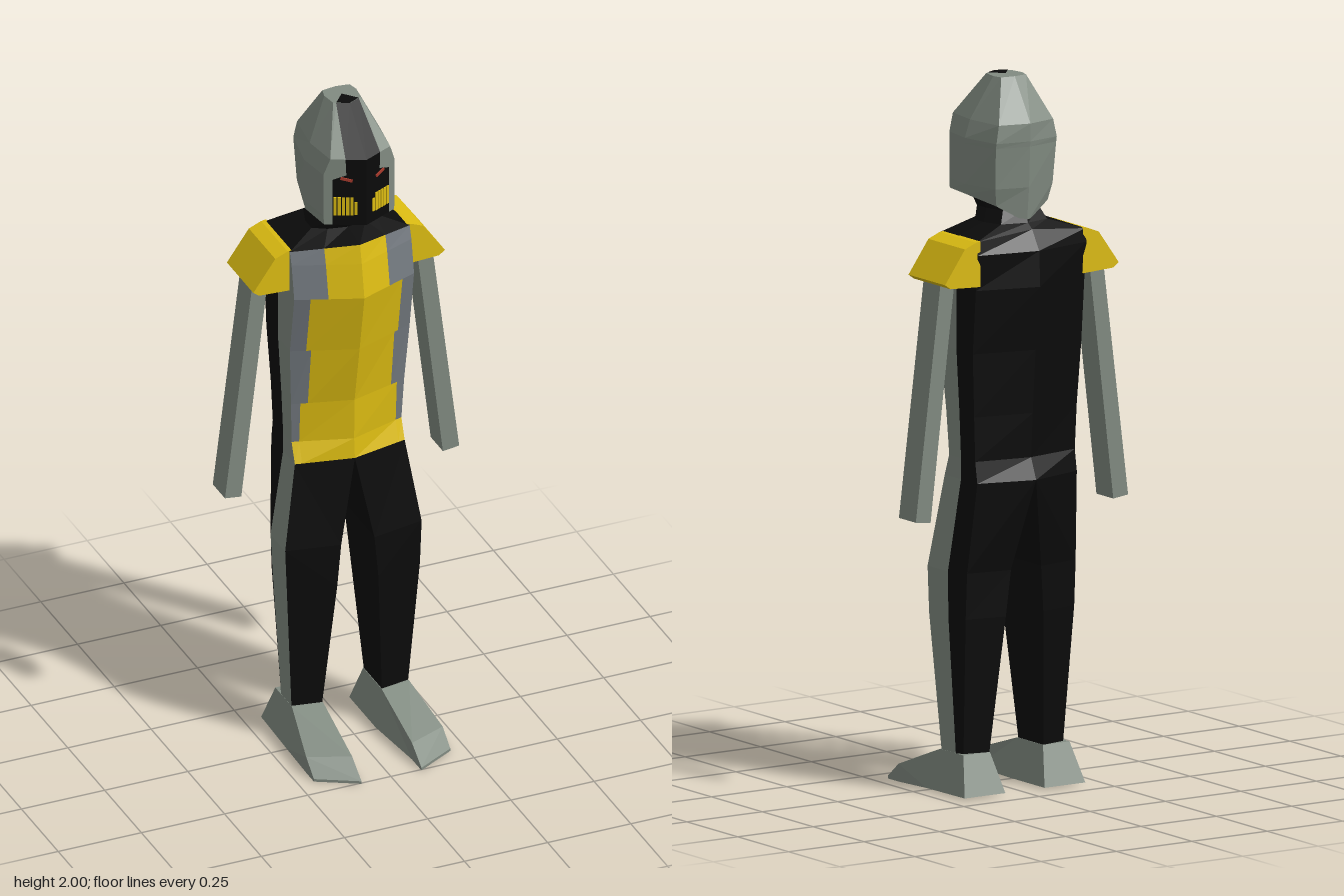
import * as THREE from 'three';

const mat = (name, color) => {
  const m = new THREE.MeshStandardMaterial({ color });
  m.name = name;
  return m;
};
const BLACK = mat('black', 0x0b0b0b);
const GREY = mat('armourGrey', 0x818b81);
const SLATE = mat('chestSlate', 0x73797f);
const YELLOW = mat('yellow', 0xdcbc12);
const RED = mat('eyeRed', 0xa83a2c);

// Closed, capped, flat-faced loft. paint(row, col) gives each cell's material;
// row -1 is the first cap and row rings.length - 1 the last cap.
function loft(name, rings, paint) {
  const buckets = new Map();
  const v = (p) => new THREE.Vector3(...p);
  let volume = 0;
  const tri = (m, a, b, c) => {
    if (b.clone().sub(a).cross(c.clone().sub(a)).length() < 1e-9) return;
    volume += a.dot(b.clone().cross(c));
    if (!buckets.has(m)) buckets.set(m, []);
    buckets.get(m).push([a, b, c]);
  };
  const pts = rings.map((r) => r.map(v));
  const n = pts[0].length;
  const last = pts.length - 1;
  for (let r = 0; r < last; r++) {
    for (let c = 0; c < n; c++) {
      const d = (c + 1) % n;
      const m = paint(r, c);
      tri(m, pts[r][c], pts[r][d], pts[r + 1][d]);
      tri(m, pts[r][c], pts[r + 1][d], pts[r + 1][c]);
    }
  }
  const mid = (ring) => ring.reduce((s, p) => s.add(p), new THREE.Vector3()).divideScalar(n);
  const m0 = mid(pts[0]), m1 = mid(pts[last]);
  for (let c = 0; c < n; c++) {
    const d = (c + 1) % n;
    tri(paint(-1, c), m0, pts[0][d], pts[0][c]);
    tri(paint(last, c), m1, pts[last][c], pts[last][d]);
  }
  // One geometry group per material; turn the faces if they point inwards
  const geo = new THREE.BufferGeometry();
  const pos = [], mats = [];
  for (const [m, tris] of buckets) {
    geo.addGroup(pos.length / 3, tris.length * 3, mats.length);
    mats.push(m);
    for (const [a, b, c] of tris) {
      for (const p of volume < 0 ? [a, c, b] : [a, b, c]) pos.push(p.x, p.y, p.z);
    }
  }
  geo.setAttribute('position', new THREE.Float32BufferAttribute(pos, 3));
  geo.computeVertexNormals();
  const mesh = new THREE.Mesh(geo, mats);
  mesh.name = name;
  return mesh;
}

// Full ring from a half outline running front centre -> back centre
const mirrorRing = (half) => [
  ...half,
  ...half.slice(1, -1).reverse().map(([x, y, z]) => [-x, y, z]),
];
const halfCol = (c, spans) => (c < spans ? c : 2 * spans - 1 - c);

function makeTorso() {
  // y, half width, colour seam x, front z, side front z, side back z, back z
  const rows = [
    [0.885, 0.165, 0.145, 0.005, -0.03, -0.19, -0.235],
    [0.945, 0.165, 0.145, 0.0, -0.052, -0.18, -0.21],
    [1.07, 0.17, 0.145, 0.003, -0.045, -0.182, -0.218],
    [1.07, 0.17, 0.125, 0.003, -0.045, -0.182, -0.218],
    [1.25, 0.18, 0.125, 0.037, -0.03, -0.19, -0.232],
    [1.25, 0.18, 0.138, 0.037, -0.03, -0.19, -0.232],
    [1.43, 0.18, 0.138, 0.07, 0.0, -0.205, -0.255],
    [1.43, 0.18, 0.092, 0.07, 0.0, -0.205, -0.255],
    [1.53, 0.18, 0.092, 0.052, -0.018, -0.215, -0.25],
    [1.585, 0.18, 0.092, 0.04, -0.03, -0.21, -0.215],
  ];
  const rings = rows.map(([y, w, b, zf, zs, zbs, zb], i) => {
    const ys = i === rows.length - 1 ? y - 0.018 : y;
    const t = b / w;
    return mirrorRing([
      [0, y, zf], [b, y + (ys - y) * t, zf + (zs - zf) * t], [w, ys, zs],
      [w, ys, -0.11], [w, ys, zbs], [0, y, zb],
    ]);
  });
  const front = rows.length - 1;
  // Neck: base, waist, top
  const neck = [[1.6, 0.095, -0.04, -0.195], [1.635, 0.075, -0.02, -0.18], [1.7, 0.09, 0.015, -0.16]];
  for (const [y, w, zf, zb] of neck) {
    rings.push(mirrorRing([
      [0, y, zf], [w * 0.6, y, zf - 0.012], [w, y, zf - 0.035],
      [w, y, (zf + zb) / 2], [w * 0.8, y, zb + 0.02], [0, y, zb],
    ]));
  }
  return loft('torsoAndNeck', rings, (r, c) => {
    const k = halfCol(c, 5);
    if (r < 0 || r >= front) return BLACK;
    if (k === 0 || (k === 1 && r === 0)) return YELLOW;
    if (k === 1) return SLATE;
    return k === 2 ? GREY : BLACK;
  });
}

const FACE_SLOPE = 0.05 / 0.105;
const faceZ = (x) => 0.084 - FACE_SLOPE * x;

function makeHead() {
  const head = new THREE.Group();
  head.name = 'head';
  // y, mask half width, front corner x, side x, rear corner x, rear corner z, back z
  const rows = [
    [1.672, 0.085, 0.105, 0.118, 0.085, -0.165, -0.19],
    [1.7, 0.085, 0.107, 0.122, 0.095, -0.175, -0.2],
    [1.815, 0.085, 0.107, 0.122, 0.1, -0.185, -0.205],
    [1.83, 0.05, 0.107, 0.122, 0.1, -0.188, -0.207],
    [1.88, 0.052, 0.09, 0.105, 0.09, -0.185, -0.207],
  ];
  const rings = rows.map(([y, b, fx, sx, bx, bz, back], i) => mirrorRing([
    [0, y, 0.084], [b, y, faceZ(b)], [fx, y, faceZ(fx)], [sx, y, -0.065],
    [bx, i ? y : 1.65, bz], [0, i ? y : 1.6, back],
  ]));
  rings.push(mirrorRing([
    [0, 2, -0.03], [0.034, 2, -0.046], [0.041, 2, -0.05],
    [0.048, 2, -0.095], [0.041, 2, -0.124], [0, 2, -0.13],
  ]));
  head.add(loft('hood', rings, (r, c) =>
    (halfCol(c, 5) === 0 && r >= 0 && r < rings.length - 1 ? BLACK : GREY)));

  // Eyes and vertical vent bars, laid on the angled face
  const plate = (name, m, x, y, w, h, s, tilt = 0) => {
    const p = new THREE.Mesh(new THREE.BoxGeometry(w, h, 0.005), m);
    p.position.set(s * x, y, faceZ(x) + 0.001);
    p.rotation.set(0, s * Math.atan(FACE_SLOPE), s * tilt);
    p.name = name;
    head.add(p);
  };
  for (const s of [1, -1]) {
    plate('eye', RED, 0.05, 1.817, 0.034, 0.008, s, 0.25);
    for (let i = 0; i < 6; i++) {
      plate('ventBar', YELLOW, 0.026 + i * 0.0105, 1.732 - (i === 0 ? 0.006 : 0), 0.0085, i === 0 ? 0.04 : 0.056, s);
    }
  }
  // Top of the mask reaching onto the crown
  const tip = new THREE.Shape([
    new THREE.Vector2(-0.034, 0.046), new THREE.Vector2(0, 0.03),
    new THREE.Vector2(0.034, 0.046), new THREE.Vector2(0, 0.085),
  ].reverse());
  const crown = new THREE.Mesh(new THREE.ShapeGeometry(tip), BLACK);
  crown.rotation.x = -Math.PI / 2;
  crown.position.y = 2.001;
  crown.name = 'maskTip';
  head.add(crown);
  return head;
}

// Limbs for one side; s = 1 is the model's left
function makeSide(s) {
  const side = new THREE.Group();
  side.name = s > 0 ? 'leftLimbs' : 'rightLimbs';
  const add = (name, rings, paint) =>
    side.add(loft(name, rings.map((r) => r.map(([x, y, z]) => [s * x, y, z])), paint));

  // Shoulder pad: one outline at two depths
  const pad = [[0.17, 1.57], [0.185, 1.568], [0.222, 1.553], [0.288, 1.46], [0.27, 1.447], [0.17, 1.442]];
  add('shoulderPad', [-0.034, -0.214].map((z) => pad.map(([x, y]) => [x, y, z])), () => YELLOW);

  // Arm, with a yellow end
  const arm = (xi, yi, xo, yo) => [[xi, yi, -0.082], [xo, yo, -0.082], [xo, yo, -0.165], [xi, yi, -0.165]];
  add('arm', [arm(0.303, 0.787, 0.352, 0.793), arm(0.222, 1.47, 0.268, 1.47)],
    (r) => (r < 0 ? YELLOW : GREY));

  // Leg: y, inner x, outer x, rear x, then z of each corner
  const leg = [
    [0.11, 0.09, 0.175, 0.165, -0.015, -0.03, -0.1, -0.122, -0.137],
    [0.5, 0.062, 0.2, 0.18, 0.025, -0.005, -0.1, -0.155, -0.178],
    [0.63, 0.05, 0.205, 0.18, 0.025, -0.005, -0.105, -0.162, -0.185],
    [0.885, 0, 0.165, 0.165, 0.005, -0.03, -0.11, -0.19, -0.235],
  ].map(([y, xi, xo, xb, a, b, c, d, e]) =>
    [[xi, y, a], [xo, y, b], [xo, y, c], [xb, y, d], [xi, y, e]]);
  add('leg', leg, (r, c) => (c === 1 && r >= 0 && r < 3 ? GREY : BLACK));

  // Foot, heel to toe: inner sole, outer sole, outer top, inner top
  add('foot', [
    [[0.065, 0.005, -0.18], [0.2, 0.005, -0.18], [0.176, 0.116, -0.138], [0.088, 0.116, -0.138]],
    [[0.065, 0.005, 0], [0.205, 0.005, 0], [0.176, 0.116, -0.025], [0.088, 0.116, -0.012]],
    [[0.09, 0, 0.19], [0.205, 0, 0.138], [0.205, 0.05, 0.138], [0.09, 0.053, 0.19]],
    [[0.09, 0, 0.254], [0.205, 0, 0.19], [0.205, 0.008, 0.19], [0.09, 0.008, 0.254]],
  ], () => GREY);
  return side;
}

export function createModel() {
  const model = new THREE.Group();
  model.name = 'armouredFigure';
  model.add(makeTorso(), makeHead(), makeSide(1), makeSide(-1));
  return model;
}
